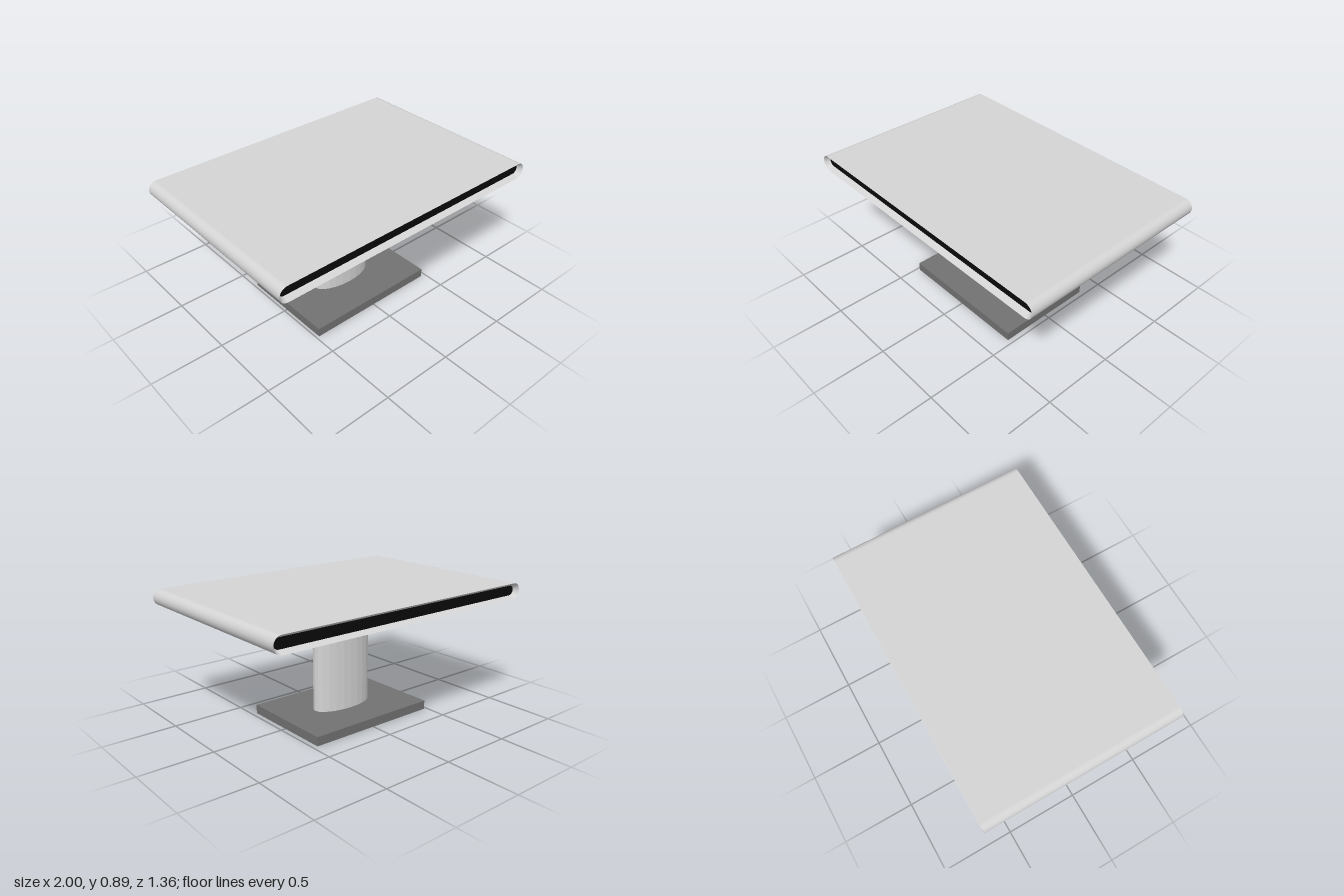
import * as THREE from 'three';

const mat = (name, color, side = THREE.FrontSide) => {
  const m = new THREE.MeshStandardMaterial({ color, side });
  m.name = name;
  return m;
};

// Closed rounded-end outline (counter-clockwise), shrunk by an inset
function outline(inset, steps = 16) {
  const r = 0.055 - inset, flat = 0.945, cy = 0.835, pts = [];
  for (const side of [1, -1]) {
    for (let i = 0; i <= steps; i++) {
      const a = -Math.PI / 2 + (Math.PI * i) / steps;
      pts.push(new THREE.Vector2(side * (flat + r * Math.cos(a)), cy + side * r * Math.sin(a)));
    }
  }
  return pts;
}

// Smooth band joining two outlines
function loft(a, za, b, zb) {
  const n = a.length, pos = [], index = [];
  for (const p of a) pos.push(p.x, p.y, za);
  for (const p of b) pos.push(p.x, p.y, zb);
  for (let i = 0; i < n; i++) {
    const j = (i + 1) % n;
    index.push(i, j, n + i, j, n + j, n + i);
  }
  const g = new THREE.BufferGeometry();
  g.setAttribute('position', new THREE.Float32BufferAttribute(pos, 3));
  g.setIndex(index);
  g.computeVertexNormals();
  return g;
}

export function createModel() {
  const group = new THREE.Group();
  const light = mat('lightGrey', 0xd4d4d4);
  const postMat = light.clone();
  postMat.name = 'lightGreyFaceted';
  postMat.flatShading = true;
  const dark = mat('darkGrey', 0x727272);
  const black = mat('black', 0x0a0a0a);

  const add = (name, geometry, material, x = 0, y = 0, z = 0) => {
    const mesh = new THREE.Mesh(geometry, material);
    mesh.name = name;
    mesh.position.set(x, y, z);
    group.add(mesh);
    return mesh;
  };

  // Table top: rounded sleeve with a sloped rim and dark recess at each end
  const half = 0.682, depth = 0.035;
  const outer = outline(0), inner = outline(0.022);
  add('tableTop', loft(outer, -half, outer, half), light);
  add('frontRim', loft(outer, half, inner, half - depth), light);
  add('backRim', loft(inner, -half + depth, outer, -half), light);
  const panel = new THREE.ShapeGeometry(new THREE.Shape(inner));
  add('frontRecess', panel, black, 0, 0, half - depth);
  add('backRecess', panel, black, 0, 0, -half + depth).rotation.y = Math.PI;

  // Oval post
  const post = new THREE.CylinderGeometry(1, 1, 0.73, 24);
  post.scale(0.228, 1, 0.105);
  add('post', post, postMat, -0.007, 0.42, 0);

  // Foot plate
  add('base', new THREE.BoxGeometry(0.946, 0.062, 0.684), dark, -0.007, 0.031, 0);

  return group;
}
